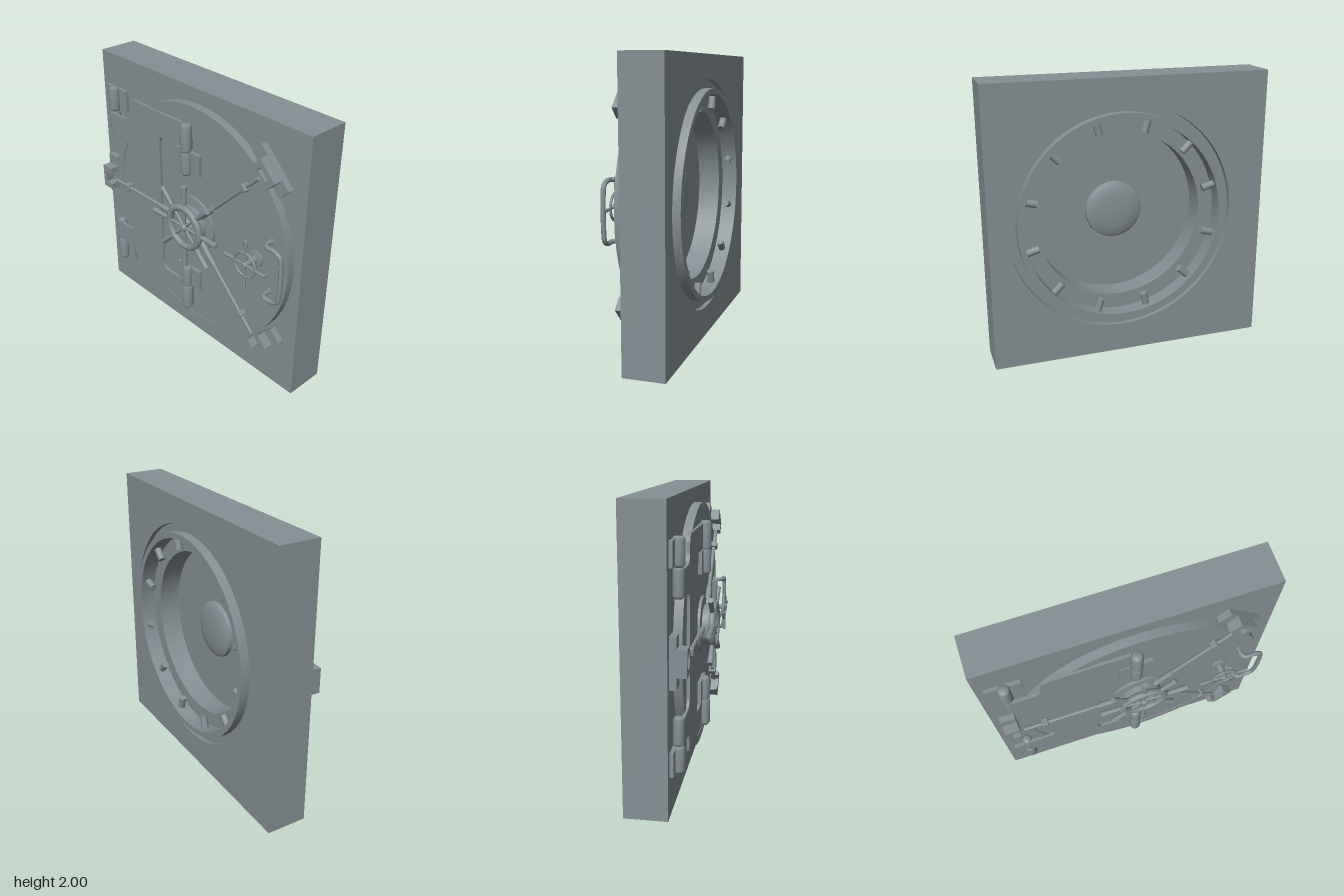
import * as THREE from 'three';
import { toCreasedNormals } from 'three/addons/utils/BufferGeometryUtils.js';
import { RoundedBoxGeometry } from 'three/addons/geometries/RoundedBoxGeometry.js';

const CX = 0.06, CY = 1.018; // door centre
const V2 = (x, y) => new THREE.Vector2(x, y);
const V3 = (x, y, z) => new THREE.Vector3(x, y, z);

export function createModel() {
  const model = new THREE.Group();
  model.name = 'vaultDoor';
  const steel = new THREE.MeshStandardMaterial({ color: 0x858f94 });
  steel.name = 'steel';

  const add = (parent, name, geo, x = 0, y = 0, z = 0) => {
    const m = new THREE.Mesh(geo, steel);
    m.name = name;
    m.position.set(x, y, z);
    parent.add(m);
    return m;
  };
  const group = (name, x, y, z = 0, turn = 0, parent = model) => {
    const g = new THREE.Group();
    g.name = name;
    g.position.set(x, y, z);
    g.rotation.z = turn;
    parent.add(g);
    return g;
  };
  const box = (w, h, d) => new THREE.BoxGeometry(w, h, d);
  // Profile of [radius, z] pairs turned around the z axis
  const turned = (profile, segments = 32) => toCreasedNormals(
    new THREE.LatheGeometry(profile.map(p => V2(p[0], p[1])), segments).rotateX(Math.PI / 2), 0.6);
  // Cylinder lying along +x from x0 to x1
  const bar = (x0, x1, r0, r1 = r0, sides = 14) =>
    new THREE.CylinderGeometry(r1, r0, x1 - x0, sides).rotateZ(-Math.PI / 2).translate((x0 + x1) / 2, 0, 0);

  // Wall block with a round opening
  const wall = new THREE.Shape([V2(-1, 0), V2(1, 0), V2(1, 2), V2(-1, 2)]);
  const opening = new THREE.Path();
  opening.absarc(CX, CY, 0.81, 0, Math.PI * 2, true);
  wall.holes.push(opening);
  add(model, 'wall', toCreasedNormals(new THREE.ExtrudeGeometry(wall,
    { depth: 0.29, bevelEnabled: false, curveSegments: 48 }), 0.6), 0, 0, -0.22);

  // Door plug: hollow back with a ledge and lip, raised rim in front
  add(model, 'door', turned([
    [0, 0.02], [0.6, 0.02], [0.6, -0.14], [0.71, -0.14], [0.71, -0.255], [0.75, -0.255],
    [0.75, -0.19], [0.808, -0.19], [0.808, 0.071], [0.88, 0.071], [0.88, 0.13],
    [0.82, 0.13], [0.82, 0.125], [0, 0.125]], 48), CX, CY);
  add(model, 'backBoss', turned([
    [0, -0.035], [0.12, -0.03], [0.18, -0.02], [0.205, -0.005], [0.21, 0.025]], 32), CX, CY);

  // Locking bolts around the back
  for (let i = 0; i < 12; i++) {
    const g = group('lockingBolt', CX, CY, -0.195, (i + 0.5) * Math.PI / 6);
    add(g, 'boltPin', bar(0.62, 0.72, 0.026));
  }

  // Hinge strap: a C plate with two arms reaching the wall hinges
  const s = new THREE.Shape();
  const top = CY + 0.74, bottom = CY - 0.74;
  s.moveTo(0.02, top);
  s.lineTo(-0.54, top);
  s.quadraticCurveTo(-0.61, top, -0.61, CY + 0.67);
  s.lineTo(-0.61, CY + 0.64);
  s.quadraticCurveTo(-0.61, CY + 0.56, -0.69, CY + 0.56);
  s.lineTo(-0.83, CY + 0.56);
  s.lineTo(-0.83, CY + 0.39);
  s.lineTo(-0.68, CY + 0.39);
  s.quadraticCurveTo(-0.61, CY + 0.39, -0.61, CY + 0.32);
  s.lineTo(-0.61, CY - 0.32);
  s.quadraticCurveTo(-0.61, CY - 0.39, -0.68, CY - 0.39);
  s.lineTo(-0.83, CY - 0.39);
  s.lineTo(-0.83, CY - 0.56);
  s.lineTo(-0.69, CY - 0.56);
  s.quadraticCurveTo(-0.61, CY - 0.56, -0.61, CY - 0.64);
  s.lineTo(-0.61, CY - 0.67);
  s.quadraticCurveTo(-0.61, bottom, -0.54, bottom);
  s.lineTo(0.02, bottom);
  s.lineTo(0.02, CY - 0.565);
  s.lineTo(-0.22, CY - 0.565);
  s.quadraticCurveTo(-0.28, CY - 0.565, -0.28, CY - 0.5);
  s.lineTo(-0.28, CY + 0.5);
  s.quadraticCurveTo(-0.28, CY + 0.565, -0.22, CY + 0.565);
  s.lineTo(0.02, CY + 0.565);
  add(model, 'hingeStrap', toCreasedNormals(new THREE.ExtrudeGeometry(s,
    { depth: 0.022, bevelEnabled: false, curveSegments: 8 }), 0.6), 0, 0, 0.124);

  // Hinges, mirrored above and below the centre
  const knuckle = (r, len) => new THREE.LatheGeometry([
    V2(0, -len / 2), V2(r * 0.7, -len / 2), V2(r, -len / 2 + 0.02),
    V2(r, len / 2 - 0.02), V2(r * 0.7, len / 2), V2(0, len / 2)], 20);
  for (const side of [1, -1]) {
    const outer = group('wallHinge', -0.83, CY);
    add(outer, 'hingePlate', box(0.235, 0.16, 0.03), 0, side * 0.66, 0.08);
    add(outer, 'upperKnuckle', knuckle(0.042, 0.185), 0, side * 0.662, 0.11);
    add(outer, 'lowerKnuckle', knuckle(0.037, 0.195), 0, side * 0.475, 0.11);
    const inner = group('doorHinge', 0.018, CY);
    add(inner, 'hingePlate', box(0.235, 0.16, 0.03), 0, side * 0.475, 0.135);
    add(inner, 'upperKnuckle', knuckle(0.042, 0.205), 0, side * 0.655, 0.16);
    add(inner, 'lowerKnuckle', knuckle(0.04, 0.18), 0, side * 0.473, 0.16);
  }

  // Three locking arms with rods, collars and wall catches
  for (const turn of [Math.PI, Math.PI / 4, -Math.PI / 4]) {
    const arm = group('lockingArm', CX, CY, 0, turn);
    add(arm, 'rod', bar(0.1, 0.87, 0.014), 0, 0, 0.154);
    add(arm, 'rodSleeve', bar(0.1, 0.32, 0.021), 0, 0, 0.154);
    add(arm, 'rodCollar', new RoundedBoxGeometry(0.045, 0.055, 0.055, 2, 0.008), 0.715, 0, 0.152);
    add(arm, 'catchPlate', box(0.105, 0.335, 0.05), 0.952, 0, 0.09);
    for (const y of [0.067, -0.067])
      add(arm, 'catchJaw', box(0.1, 0.045, 0.075), 0.952, y, 0.143);
    add(arm, 'catchBack', box(0.036, 0.09, 0.075), 0.984, 0, 0.143);
  }

  // Hub behind the main wheel
  add(model, 'hub', turned([[0.21, 0.12], [0.21, 0.145], [0.145, 0.15],
    [0.145, 0.2], [0.06, 0.2], [0.05, 0.215], [0, 0.215]], 40), CX, CY);

  // Hand wheel with spokes and outer grips
  const handWheel = (name, x, z, count, ring, tube, reach, gripR, spokeR, bossR) => {
    const g = group(name, x, CY, z);
    add(g, 'wheelRim', new THREE.TorusGeometry(ring, tube, 10, 40));
    add(g, 'wheelBoss', turned([[0, -bossR], [bossR * 0.9, -bossR], [bossR, bossR * 0.3],
      [bossR * 0.6, bossR * 0.8], [0, bossR * 0.9]], 20));
    for (let i = 0; i < count; i++) {
      const spoke = group('spoke', 0, 0, 0, i * 2 * Math.PI / count, g);
      add(spoke, 'spokeBar', bar(0, ring + 0.02, spokeR));
      add(spoke, 'spokeNeck', bar(ring, reach * 0.8, spokeR));
      add(spoke, 'grip', bar(ring + reach * 0.1, reach, gripR * 0.8, gripR));
    }
    return g;
  };
  handWheel('mainWheel', CX, 0.222, 8, 0.152, 0.025, 0.325, 0.021, 0.011, 0.032);
  handWheel('smallWheel', 0.663, 0.232, 4, 0.092, 0.009, 0.183, 0.013, 0.008, 0.024);
  add(model, 'smallWheelShaft', turned([[0.06, 0.12], [0.06, 0.14], [0.026, 0.145],
    [0.026, 0.18], [0.018, 0.185], [0.018, 0.23]], 20), 0.663, CY);

  // Bent pull handle with mounting feet
  const half = [[0.79, 0.198, 0.12], [0.79, 0.198, 0.17], [0.815, 0.198, 0.2],
    [0.875, 0.198, 0.2], [0.925, 0.175, 0.2], [0.938, 0.12, 0.2]];
  const path = [...half, ...half.map(p => [p[0], -p[1], p[2]]).reverse()]
    .map(p => V3(p[0], CY + p[1], p[2]));
  add(model, 'pullHandle', new THREE.TubeGeometry(
    new THREE.CatmullRomCurve3(path, false, 'centripetal'), 60, 0.016, 10));
  for (const y of [0.198, -0.198])
    add(model, 'handleFoot', turned([[0.022, 0.12], [0.022, 0.138], [0, 0.138]], 16), 0.79, CY + y);

  return model;
}
